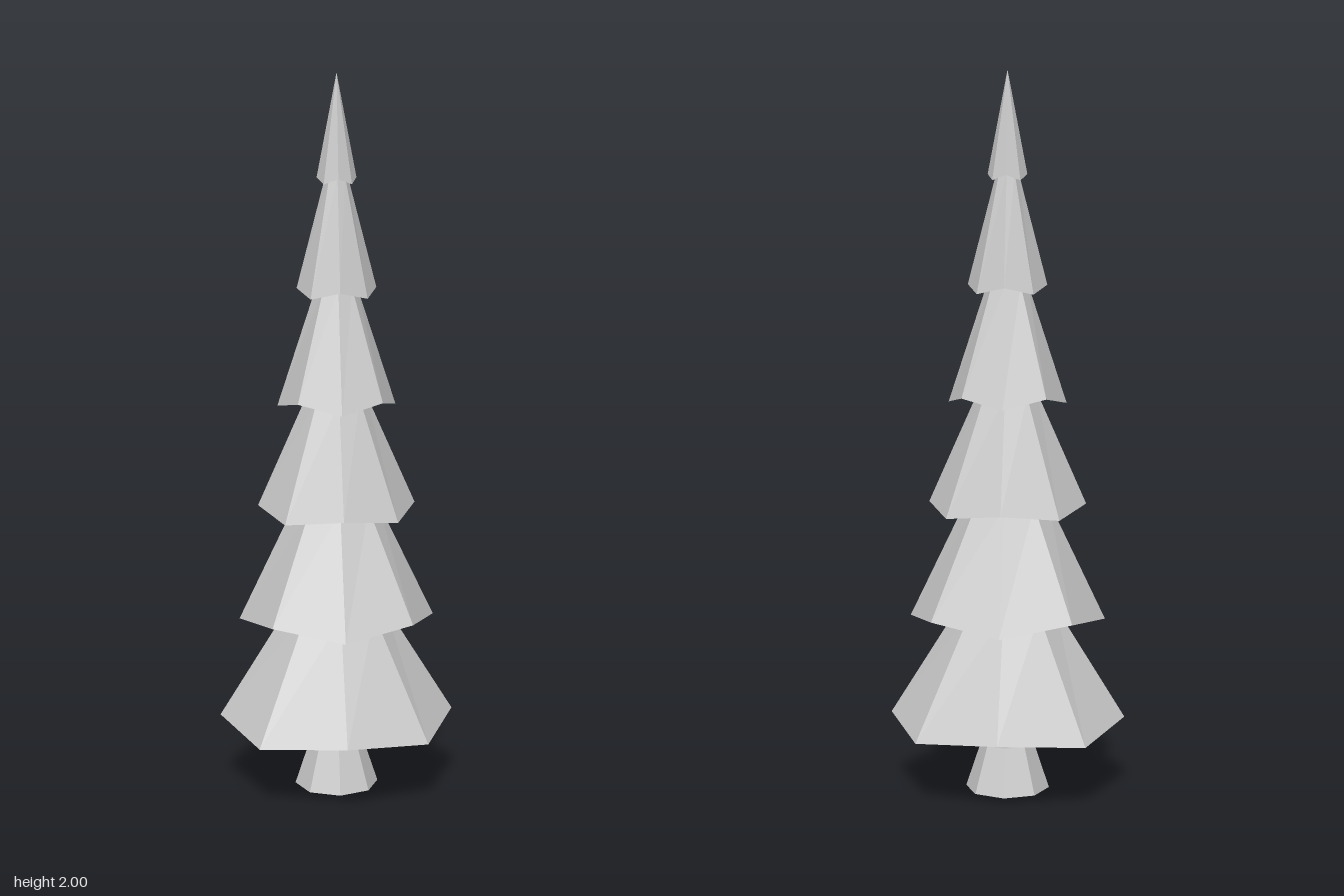
import * as THREE from 'three';

const SIDES = 8;
const material = new THREE.MeshStandardMaterial({ color: 0xcccccc, flatShading: true });

// Skins a stack of octagonal rings, each [radius, y at even corners, y at odd corners]
function ringSurface(name, rings) {
  const pos = [];
  const corner = ([r, even, odd = even], i) => {
    const a = (i / SIDES) * Math.PI * 2;
    return [r * Math.sin(a), i % 2 ? odd : even, r * Math.cos(a)];
  };
  for (let k = 0; k < rings.length - 1; k++) {
    const lo = rings[k], hi = rings[k + 1];
    for (let i = 0; i < SIDES; i++) {
      const a = corner(lo, i), b = corner(lo, i + 1);
      const c = corner(hi, i + 1), d = corner(hi, i);
      if (lo[0] > 0) pos.push(...a, ...b, ...c);
      if (hi[0] > 0) pos.push(...a, ...c, ...d);
    }
  }
  const geometry = new THREE.BufferGeometry();
  geometry.setAttribute('position', new THREE.Float32BufferAttribute(pos, 3));
  geometry.computeVertexNormals();
  const mesh = new THREE.Mesh(geometry, material);
  mesh.name = name;
  return mesh;
}

export function createModel() {
  const tree = new THREE.Group();
  tree.name = 'tree';

  // Flared trunk with a closed base
  tree.add(ringSurface('trunk', [[0, 0], [0.117, 0], [0.074, 0.13], [0.062, 0.2], [0.055, 0.26]]));

  // Branch tiers: skirt radius, skirt heights (even / odd corners), top radius, top height
  const tiers = [
    [0.328, 0.185, 0.21, 0.135, 0.52],
    [0.272, 0.515, 0.49, 0.114, 0.82],
    [0.218, 0.795, 0.815, 0.083, 1.12],
    [0.163, 1.12, 1.095, 0.055, 1.425],
    [0.109, 1.4, 1.42, 0.03, 1.725],
    [0.054, 1.705, 1.72, 0, 2],
  ];
  let inner = [[0.055, 0.26], [0.17, 0.225]]; // recessed underside around the trunk
  tiers.forEach(([r, even, odd, topR, topY], i) => {
    tree.add(ringSurface('branchTier' + (i + 1), [...inner, [r, even, odd], [topR, topY]]));
    inner = [[topR, topY]];
  });
  return tree;
}
